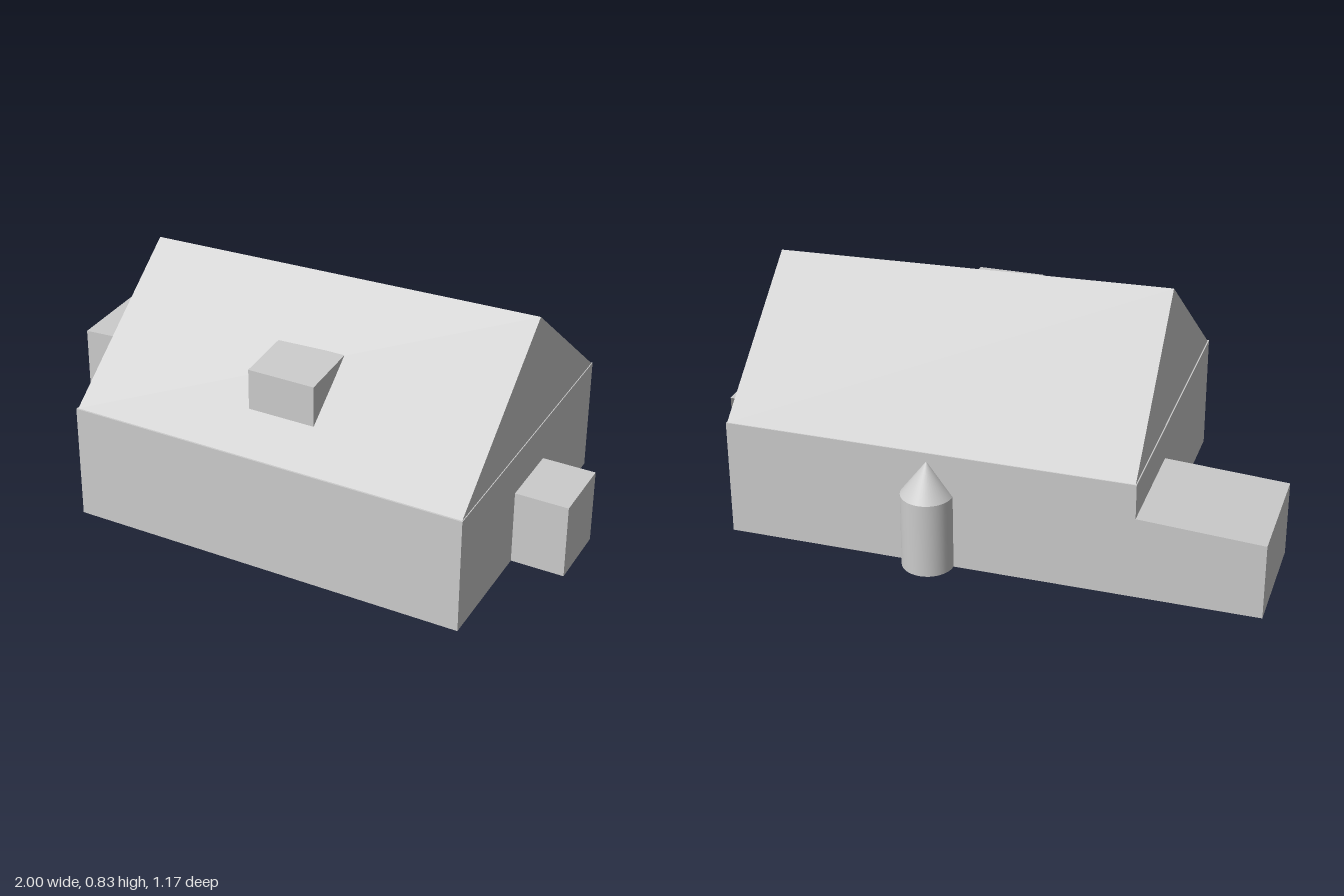
import * as THREE from 'three';

const material = new THREE.MeshStandardMaterial({ color: 0xcccccc, flatShading: true, side: THREE.DoubleSide });
const smooth = new THREE.MeshStandardMaterial({ color: 0xcccccc, side: THREE.DoubleSide });

// Flat panels, each given by its corners counter-clockwise from outside
function panels(name, corners, faces) {
  const positions = [];
  for (const f of faces) {
    for (let i = 1; i < f.length - 1; i++) {
      for (const k of [f[0], f[i], f[i + 1]]) positions.push(...corners[k]);
    }
  }
  const g = new THREE.BufferGeometry();
  g.setAttribute('position', new THREE.Float32BufferAttribute(positions, 3));
  g.computeVertexNormals();
  const mesh = new THREE.Mesh(g, material);
  mesh.name = name;
  return mesh;
}

// Eight corners of a block; top height may differ between its two x ends
function blockCorners(x0, x1, z0, z1, top0, top1) {
  return [
    [x0, 0, z0], [x1, 0, z0], [x1, 0, z1], [x0, 0, z1],
    [x0, top0, z0], [x1, top1, z0], [x1, top1, z1], [x0, top0, z1],
  ];
}
const BOTTOM = [0, 1, 2, 3], TOP = [7, 6, 5, 4], FRONT = [3, 2, 6, 7];
const BACK = [1, 0, 4, 5], LEFT = [2, 1, 5, 6], RIGHT = [0, 3, 7, 4];

export function createModel() {
  const house = new THREE.Group();
  house.name = 'house';

  // Main walls
  house.add(panels('walls', blockCorners(-0.58, 0.815, -0.5, 0.586, 0.412, 0.412),
    [BOTTOM, TOP, FRONT, BACK, LEFT, RIGHT]));

  // Gabled roof with a skewed ridge, set slightly inside the wall tops
  house.add(panels('roof', [
    [-0.576, 0.412, -0.496], [0.812, 0.412, -0.496], [0.812, 0.412, 0.58], [-0.576, 0.412, 0.58],
    [-0.55, 0.83, 0.08], [0.803, 0.83, 0],
  ], [[3, 2, 5, 4], [1, 0, 4, 5], [2, 1, 5], [0, 3, 4]]));

  // Wedge dormer on the front slope
  const dormer = [];
  for (const x of [0, 0.235]) dormer.push([x, 0.5, 0.45], [x, 0.65, 0.45], [x, 0.66, 0.24]);
  house.add(panels('dormer', dormer, [[0, 3, 4, 1], [1, 4, 5, 2], [0, 1, 2], [3, 5, 4]]));

  // Side wing with a gently sloping top, flush with the back wall
  house.add(panels('wing', blockCorners(-1, -0.58, -0.5, -0.09, 0.265, 0.29),
    [BOTTOM, TOP, FRONT, BACK, RIGHT]));

  // Porch, open underneath and on its rear side
  house.add(panels('porch', blockCorners(0.815, 1, -0.075, 0.162, 0.265, 0.265),
    [TOP, FRONT, LEFT]));

  // Half-round turret against the back wall
  const turret = new THREE.Group();
  turret.name = 'turret';
  const shaft = new THREE.Mesh(
    new THREE.CylinderGeometry(0.088, 0.088, 0.265, 24, 1, true, Math.PI / 2, Math.PI), smooth);
  shaft.name = 'turretShaft';
  shaft.position.y = 0.1325;
  const cap = new THREE.Mesh(
    new THREE.ConeGeometry(0.088, 0.118, 24, 1, true, Math.PI / 2, Math.PI), smooth);
  cap.name = 'turretCap';
  cap.position.y = 0.324;
  turret.add(shaft, cap);
  turret.position.set(0.115, 0, -0.5);
  house.add(turret);

  return house;
}
